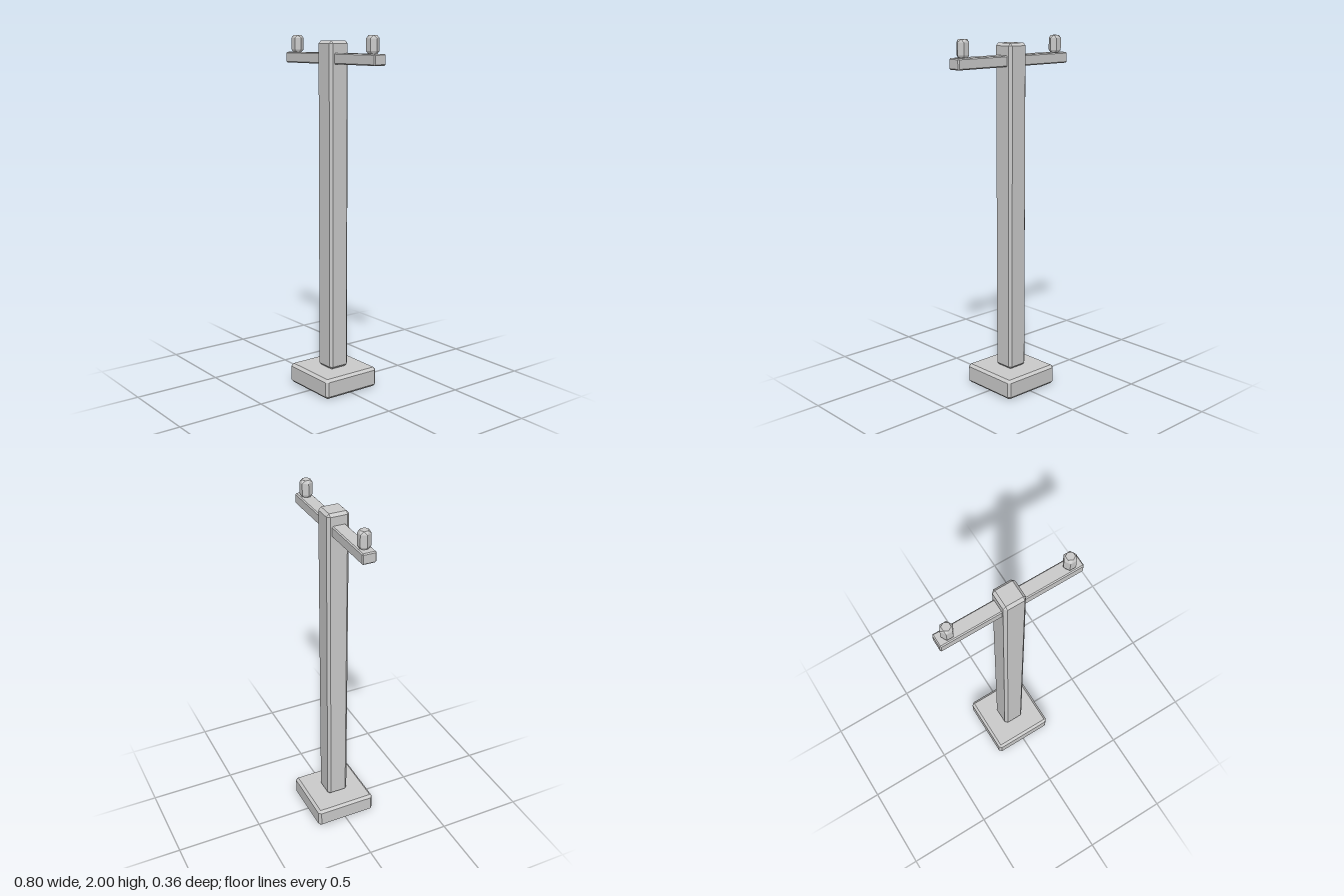
import * as THREE from 'three';
import { ConvexGeometry } from 'three/addons/geometries/ConvexGeometry.js';

const material = new THREE.MeshStandardMaterial({ color: 0xcccccc, flatShading: true });

// Box with every edge and corner chamfered by c
function chamferBox(w, h, d, c) {
  const points = [];
  const x = w / 2, y = h / 2, z = d / 2;
  for (const i of [-1, 1]) for (const j of [-1, 1]) for (const k of [-1, 1]) {
    points.push(
      new THREE.Vector3(i * x, j * (y - c), k * (z - c)),
      new THREE.Vector3(i * (x - c), j * y, k * (z - c)),
      new THREE.Vector3(i * (x - c), j * (y - c), k * z)
    );
  }
  return new ConvexGeometry(points);
}

// Hexagonal peg whose smaller end caps are turned half a step
function pegGeometry(radius, capRadius, height, c) {
  const points = [];
  const h = height / 2;
  for (const s of [-1, 1]) for (let i = 0; i < 6; i++) {
    const a = i * Math.PI / 3, b = a + Math.PI / 6;
    points.push(
      new THREE.Vector3(radius * Math.cos(a), s * (h - c), radius * Math.sin(a)),
      new THREE.Vector3(capRadius * Math.cos(b), s * h, capRadius * Math.sin(b))
    );
  }
  return new ConvexGeometry(points);
}

export function createModel() {
  const group = new THREE.Group();
  const add = (name, geometry, x, y) => {
    const mesh = new THREE.Mesh(geometry, material);
    mesh.name = name;
    mesh.position.set(x, y, 0);
    group.add(mesh);
  };

  // Footing, pole and crossbar
  add('base', chamferBox(0.36, 0.115, 0.36, 0.015), 0, 0.0575);
  add('post', chamferBox(0.126, 1.855, 0.126, 0.015), 0, 1.0425);
  add('crossArm', chamferBox(0.8, 0.06, 0.078, 0.006), 0, 1.875);

  // Insulators near both ends of the crossbar
  const peg = pegGeometry(0.035, 0.024, 0.097, 0.016);
  add('leftInsulator', peg, 0.338, 1.9515);
  add('rightInsulator', peg, -0.338, 1.9515);

  return group;
}
